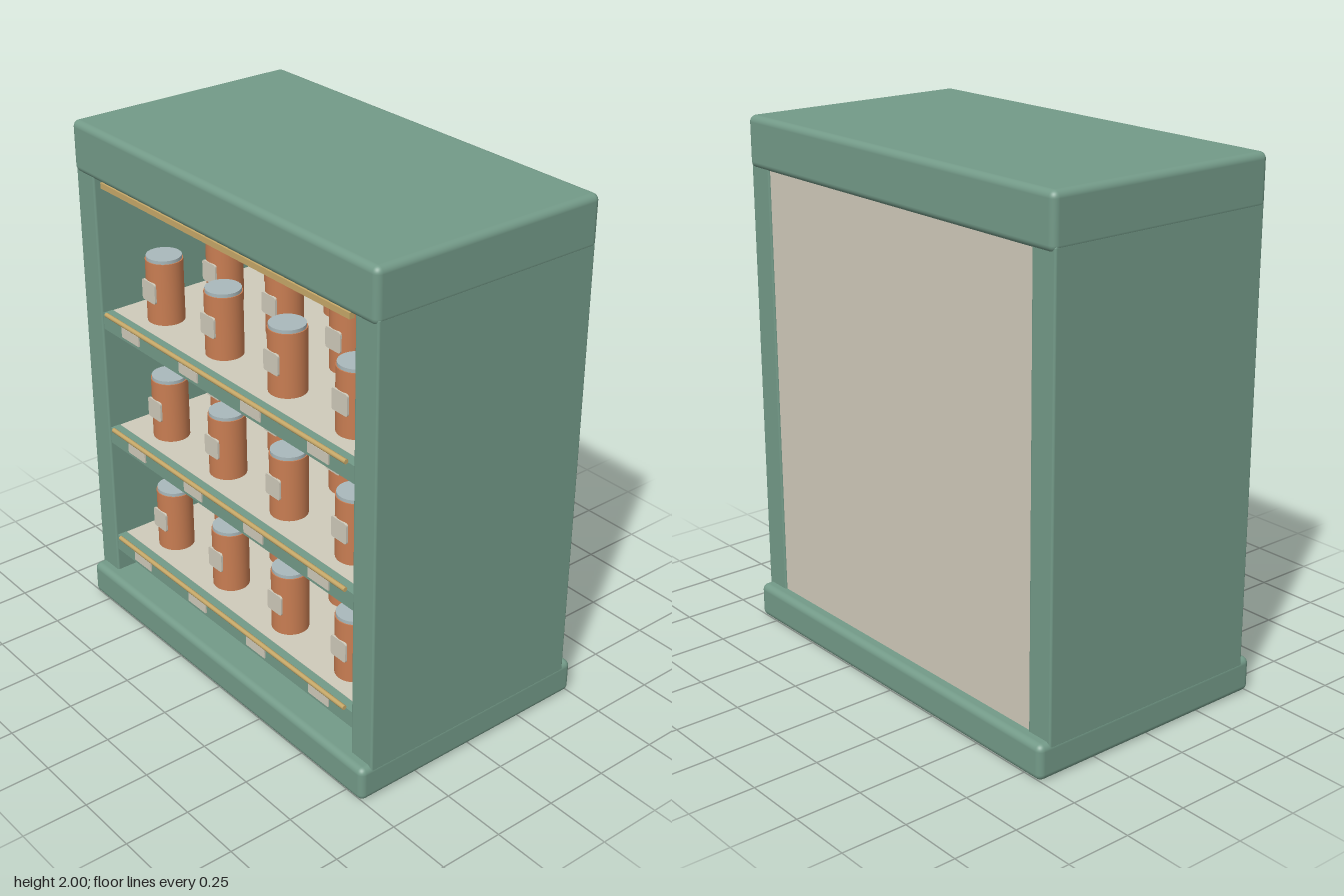
import * as THREE from 'three';
import { RoundedBoxGeometry } from 'three/addons/geometries/RoundedBoxGeometry.js';

function material(name, color) {
  const m = new THREE.MeshStandardMaterial({ color });
  m.name = name;
  return m;
}

export function createModel() {
  const green = material('sage green', 0x739a88);
  const cream = material('cream', 0xcfcaba);
  const orange = material('terracotta', 0xc87d52);
  const silver = material('lid silver', 0xa9b8bb);
  const brass = material('brass', 0xc6a868);

  const model = new THREE.Group();
  model.name = 'displayShelf';

  function add(parent, name, geometry, mat, x, y, z) {
    const mesh = new THREE.Mesh(geometry, mat);
    mesh.name = name;
    mesh.position.set(x, y, z);
    parent.add(mesh);
    return mesh;
  }

  // Cabinet shell
  add(model, 'base', new RoundedBoxGeometry(1.68, 0.135, 1.02, 4, 0.025), green, 0, 0.0675, 0);
  add(model, 'header', new RoundedBoxGeometry(1.68, 0.195, 0.95, 4, 0.025), green, 0, 1.9025, 0);
  const sideGeometry = new RoundedBoxGeometry(0.11, 1.72, 0.93, 3, 0.008);
  add(model, 'leftSide', sideGeometry, green, 0.784, 0.97, 0);
  add(model, 'rightSide', sideGeometry, green, -0.784, 0.97, 0);
  add(model, 'backPanel', new THREE.BoxGeometry(1.47, 1.72, 0.03), cream, 0, 0.97, -0.443);

  // Shared shelf and can geometry
  const boardGeometry = new THREE.BoxGeometry(1.46, 0.05, 0.85);
  const lipGeometry = new THREE.BoxGeometry(1.46, 0.066, 0.04);
  const tagGeometry = new THREE.BoxGeometry(0.11, 0.04, 0.008);
  const railGeometry = new THREE.CylinderGeometry(0.009, 0.009, 1.39, 10).rotateZ(Math.PI / 2);
  const bodyGeometry = new THREE.CylinderGeometry(0.07, 0.07, 0.242, 28);
  const lidGeometry = new THREE.CylinderGeometry(0.066, 0.066, 0.014, 28);

  const r = 0.01, w = 0.04;
  const labelShape = new THREE.Shape();
  labelShape.moveTo(-w + r, -w);
  labelShape.lineTo(w - r, -w).quadraticCurveTo(w, -w, w, -w + r);
  labelShape.lineTo(w, w - r).quadraticCurveTo(w, w, w - r, w);
  labelShape.lineTo(-w + r, w).quadraticCurveTo(-w, w, -w, w - r);
  labelShape.lineTo(-w, -w + r).quadraticCurveTo(-w, -w, -w + r, -w);
  const labelGeometry = new THREE.ExtrudeGeometry(labelShape, { depth: 0.008, bevelEnabled: false, curveSegments: 4 });

  // Can standing on y = 0, with its label at the front
  function makeCan() {
    const can = new THREE.Group();
    can.name = 'can';
    add(can, 'canBody', bodyGeometry, orange, 0, 0.121, 0);
    add(can, 'canLid', lidGeometry, silver, 0, 0.248, 0);
    add(can, 'canLabel', labelGeometry, cream, 0, 0.127, 0.066);
    return can;
  }

  // Three stocked shelves
  const columns = [-0.546, -0.182, 0.182, 0.546];
  const rows = [0.3, 0.03, -0.24];
  for (const top of [0.298, 0.786, 1.274]) {
    const shelf = new THREE.Group();
    shelf.name = 'shelf';
    shelf.position.y = top;
    model.add(shelf);
    add(shelf, 'shelfBoard', boardGeometry, cream, 0, -0.027, -0.01);
    add(shelf, 'shelfLip', lipGeometry, green, 0, -0.033, 0.438);
    add(shelf, 'frontRail', railGeometry, brass, 0, 0.006, 0.467);
    for (const x of columns) {
      add(shelf, 'priceTag', tagGeometry, cream, x, -0.03, 0.46);
      for (const z of rows) {
        const can = makeCan();
        can.position.set(x, 0, z);
        shelf.add(can);
      }
    }
  }

  // Rail under the header
  add(model, 'topRail', new THREE.BoxGeometry(1.39, 0.022, 0.02), brass, 0, 1.788, 0.448);

  return model;
}
